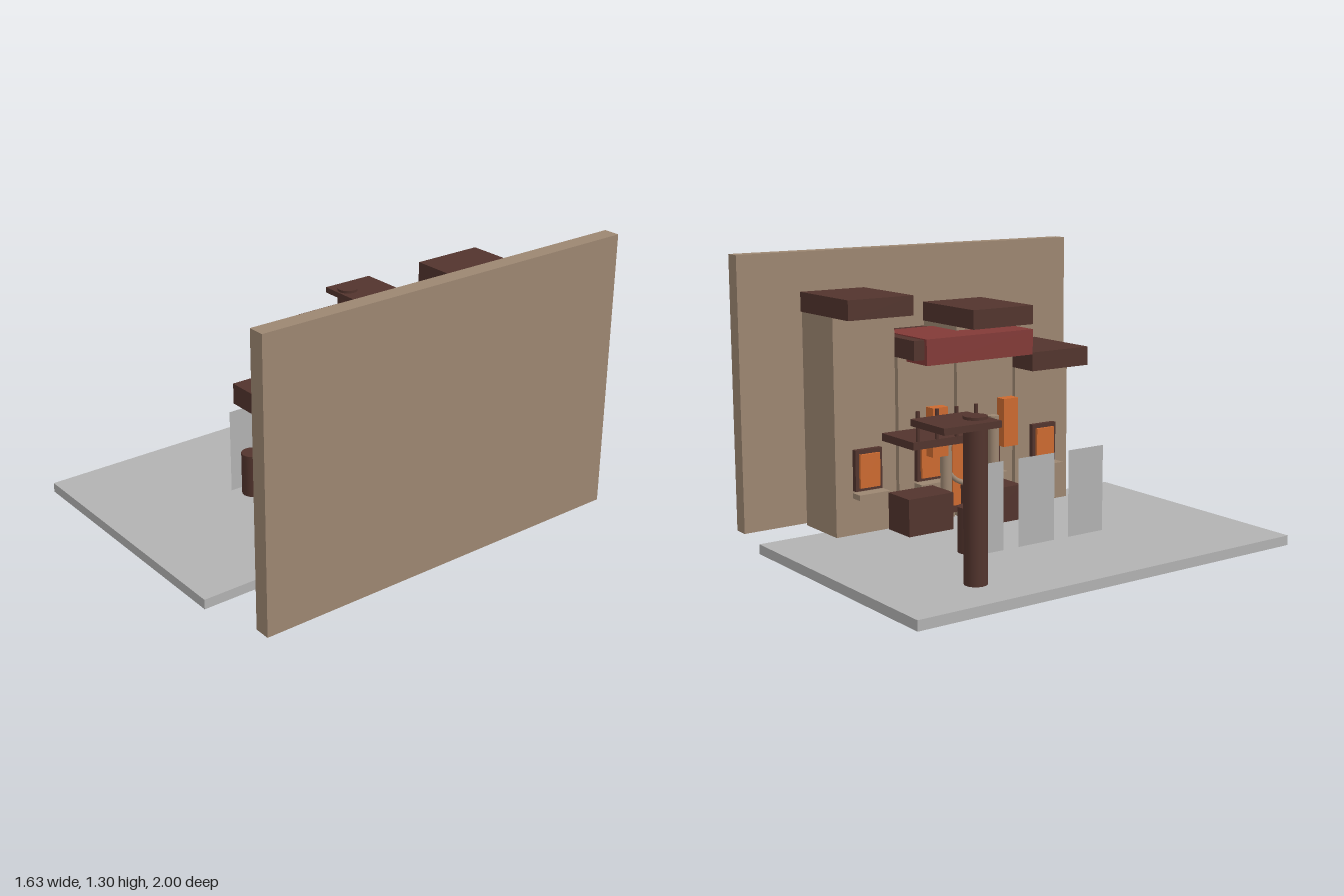
import * as THREE from 'three';

const mat = (name, color, side = THREE.FrontSide) => {
  const m = new THREE.MeshStandardMaterial({ color, side });
  m.name = name;
  return m;
};

export function createModel() {
  const group = new THREE.Group();
  const tan = mat('tan plaster', 0x9c8671);
  const wood = mat('dark wood', 0x52342d);
  const red = mat('awning red', 0x823a37);
  const orange = mat('lantern orange', 0xcc6a30);
  const gray = mat('pavement gray', 0xb2b2b2, THREE.DoubleSide);

  const add = (name, geometry, material, x, y, z) => {
    const mesh = new THREE.Mesh(geometry, material);
    mesh.name = name;
    mesh.position.set(x, y, z);
    group.add(mesh);
    return mesh;
  };
  // Box given by its limits on each axis
  const box = (name, m, x0, x1, y0, y1, z0, z1) =>
    add(name, new THREE.BoxGeometry(x1 - x0, y1 - y0, z1 - z0), m,
      (x0 + x1) / 2, (y0 + y1) / 2, (z0 + z1) / 2);
  // Upright cylinder between two heights
  const post = (name, m, r, x, z, y0, y1, sides = 20) =>
    add(name, new THREE.CylinderGeometry(r, r, y1 - y0, sides), m, x, (y0 + y1) / 2, z);

  // Ground slab and tall back wall
  box('ground', gray, -0.82, 0.465, 0, 0.045, -1, 1);
  box('backWall', tan, 0.74, 0.815, 0.02, 1.305, -0.935, 0.935);

  // Row of four houses with flat roofs, each with a framed window and sill
  const houses = [
    [-0.68, -0.345, 1.045],
    [-0.345, -0.02, 0.84],
    [-0.02, 0.32, 0.955],
    [0.32, 0.655, 0.73],
  ];
  for (const [z0, z1, h] of houses) {
    const c = (z0 + z1) / 2;
    box('houseWall', tan, 0.35, 0.625, 0.045, h, z0 + 0.008, z1 - 0.008);
    box('roof', wood, 0.2, 0.622, h, h + 0.09, z0, z1);
    box('windowFrame', wood, 0.325, 0.352, 0.25, 0.44, c - 0.07, c + 0.07);
    box('windowPane', orange, 0.312, 0.325, 0.265, 0.42, c - 0.052, c + 0.052);
    box('windowSill', tan, 0.275, 0.335, 0.22, 0.245, c - 0.08, c + 0.08);
  }

  // Entrance with a round moulding, columns, lanterns and awning
  box('door', wood, 0.305, 0.352, 0.08, 0.51, -0.1, 0.115);
  box('doorPanel', orange, 0.296, 0.305, 0.115, 0.46, -0.075, 0.09);
  add('doorRing', new THREE.TorusGeometry(0.125, 0.012, 10, 32), tan, 0.287, 0.345, 0.008)
    .rotation.y = Math.PI / 2;
  for (const s of [-1, 1]) {
    post('column', tan, 0.027, 0.263, 0.135 * s, 0.045, 0.53);
    const z = 0.008 + 0.2 * s;
    box('lantern', orange, 0.22, 0.275, 0.38, 0.61, z - 0.042, z + 0.042);
  }
  box('awning', red, 0.18, 0.555, 0.815, 0.935, -0.29, 0.305);

  // Balcony shelf with balusters
  box('balcony', wood, 0.02, 0.28, 0.48, 0.515, -0.47, -0.095);
  for (const z of [-0.44, -0.34, -0.235, -0.13])
    post('baluster', wood, 0.009, 0.028, z, 0.5, 0.65, 10);

  // Crates and barrels
  box('crate', wood, -0.105, 0.06, 0.135, 0.3, -0.575, -0.345);
  box('crate', wood, 0.02, 0.18, 0.08, 0.245, -0.11, 0.12);
  for (const z of [-0.315, 0.31]) post('barrel', wood, 0.05, -0.178, z, 0.045, 0.25);

  // Thin standing screens
  for (const z of [-0.28, 0, 0.28])
    add('screen', new THREE.PlaneGeometry(0.2, 0.4), gray, -0.25, 0.245, z)
      .rotation.y = -Math.PI / 2;

  // Tall post with a square top plate
  post('tallPost', wood, 0.05, -0.577, -0.56, 0.045, 0.74);
  box('postPlate', wood, -0.675, -0.435, 0.7, 0.728, -0.775, -0.5);

  return group;
}
